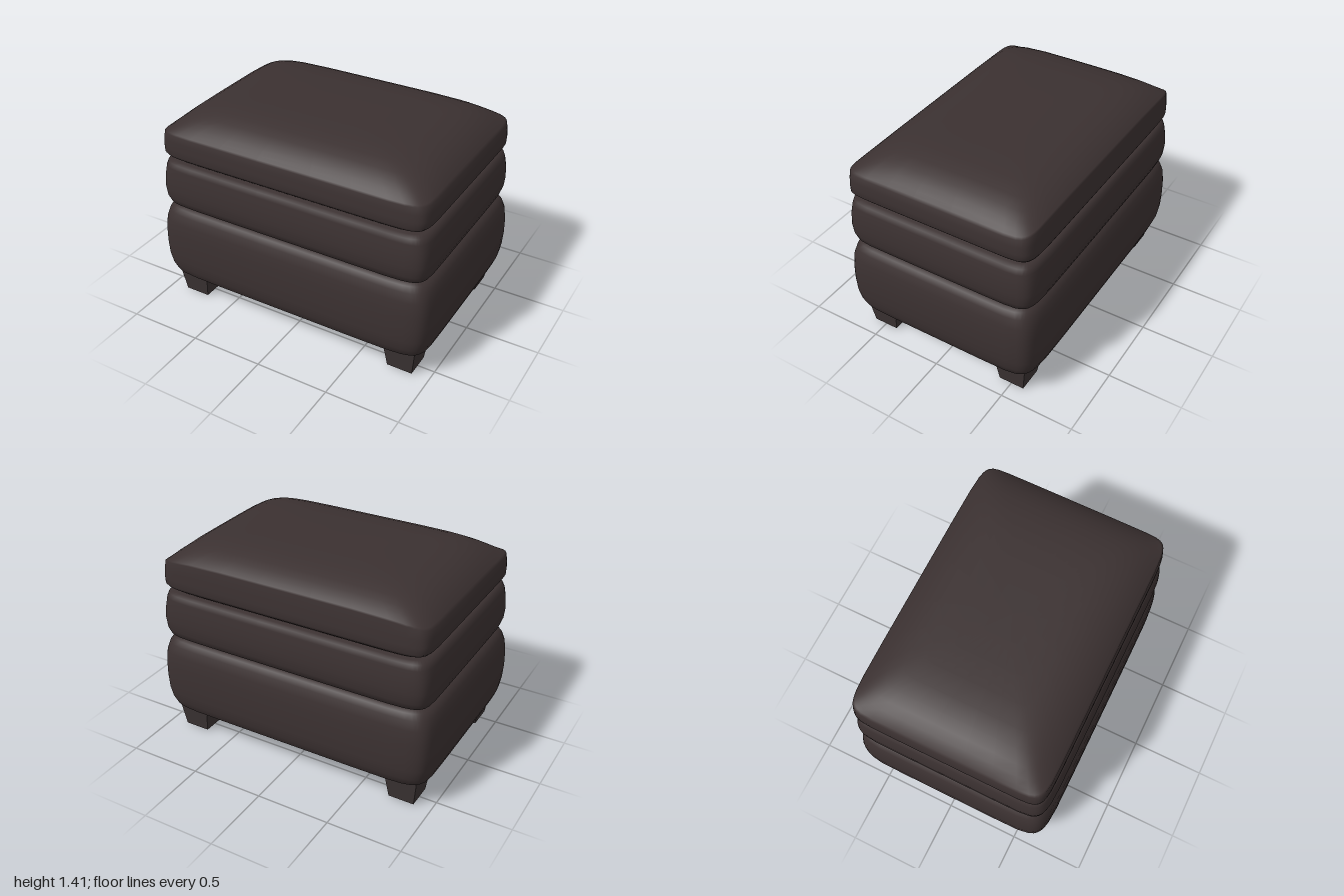
import * as THREE from 'three';

const leather = new THREE.MeshStandardMaterial({ color: 0x3b3131 });
leather.name = 'dark leather';
const wood = new THREE.MeshStandardMaterial({ color: 0x3b3333 });
wood.name = 'dark wood';
const lining = new THREE.MeshStandardMaterial({ color: 0x5e4231 });
lining.name = 'brown lining';

// Points of a unit square with bulging sides and rounded corners, walked from +x to +z
function outline(power) {
  const steps = [-1, -0.97, -0.93, -0.87, -0.75, -0.5, -0.2, 0.2, 0.5, 0.75, 0.87, 0.93, 0.97];
  const points = [];
  for (let side = 0; side < 4; side++) {
    const c = [1, 0, -1, 0][side], s = [0, 1, 0, -1][side];
    for (const k of steps) {
      const r = Math.pow(1 + Math.pow(Math.abs(k), power), -1 / power);
      points.push([(c - s * k) * r, (s + c * k) * r]);
    }
  }
  return points;
}

// Skin over rings [half width, y, half depth], listed from bottom to top
function loft(rings, power, lift = () => 0) {
  const edge = outline(power), n = edge.length, positions = [], index = [];
  rings.forEach(([w, y, d], j) => {
    edge.forEach(([u, v], i) => {
      const x = u * w, z = v * d;
      positions.push(x, y + lift(x, z, y), z);
      if (j === 0) return;
      const a = (j - 1) * n + i, b = (j - 1) * n + (i + 1) % n;
      index.push(a, a + n, b, b, a + n, b + n);
    });
  });
  const geometry = new THREE.BufferGeometry();
  geometry.setAttribute('position', new THREE.Float32BufferAttribute(positions, 3));
  geometry.setIndex(index);
  geometry.computeVertexNormals();
  return geometry;
}

function part(name, geometry, material) {
  const mesh = new THREE.Mesh(geometry, material);
  mesh.name = name;
  return mesh;
}

// Square leg that narrows towards the floor
function legGeometry() {
  const geometry = new THREE.BoxGeometry(0.22, 0.176, 0.22);
  const p = geometry.attributes.position;
  for (let i = 0; i < p.count; i++) {
    if (p.getY(i) < 0) p.setXYZ(i, p.getX(i) * 0.79, p.getY(i), p.getZ(i) * 0.79);
  }
  geometry.computeVertexNormals();
  return geometry.translate(0, 0.088, 0);
}

export function createModel() {
  const group = new THREE.Group();
  group.name = 'ottoman';

  // Upholstered base
  group.add(part('base', loft([
    [0, 0.178, 0], [0.9, 0.178, 0.61], [0.935, 0.179, 0.645], [0.962, 0.195, 0.668],
    [0.982, 0.25, 0.688], [0.994, 0.32, 0.698], [1, 0.42, 0.7], [0.999, 0.52, 0.698],
    [0.99, 0.61, 0.69], [0.972, 0.67, 0.672], [0.95, 0.705, 0.652], [0.92, 0.72, 0.625],
    [0.85, 0.725, 0.57], [0, 0.726, 0],
  ], 12), leather));

  // Middle cushion
  group.add(part('middleCushion', loft([
    [0, 0.724, 0], [0.86, 0.725, 0.58], [0.92, 0.73, 0.63], [0.948, 0.745, 0.66],
    [0.962, 0.79, 0.676], [0.968, 0.86, 0.682], [0.964, 0.94, 0.676], [0.953, 1.01, 0.666],
    [0.94, 1.045, 0.658], [0.915, 1.06, 0.635], [0.85, 1.064, 0.57], [0, 1.065, 0],
  ], 14), leather));

  // Domed top cushion: the wall rings are followed by shrinking rings raised by the dome
  const rings = [
    [0, 1.064, 0], [0.84, 1.065, 0.57], [0.89, 1.07, 0.62], [0.93, 1.095, 0.65],
    [0.948, 1.115, 0.66], [0.95, 1.16, 0.66], [0.948, 1.21, 0.656],
  ];
  for (const s of [1, 0.985, 0.96, 0.92, 0.86, 0.78, 0.67, 0.53, 0.36, 0.18, 0]) {
    rings.push([0.94 * s, 1.25, 0.652 * s]);
  }
  const dome = (x, z, y) => y < 1.25 ? 0
    : 0.16 * Math.max(0, 1 - Math.pow(Math.abs(x) / 0.945, 7)) * Math.max(0, 1 - Math.pow(Math.abs(z + 0.02) / 0.675, 5));
  group.add(part('topCushion', loft(rings, 16, dome), leather));

  // Lining under the base
  group.add(part('lining', loft([
    [0, 0.173, 0], [0.87, 0.173, 0.59], [0.87, 0.178, 0.59],
  ], 9), lining));

  // Four legs
  const leg = legGeometry();
  for (const [front, z] of [['front', 0.5], ['back', -0.5]]) {
    for (const [side, x] of [['Left', 0.795], ['Right', -0.795]]) {
      const mesh = part(front + side + 'Leg', leg, wood);
      mesh.position.set(x, 0, z);
      group.add(mesh);
    }
  }
  return group;
}
